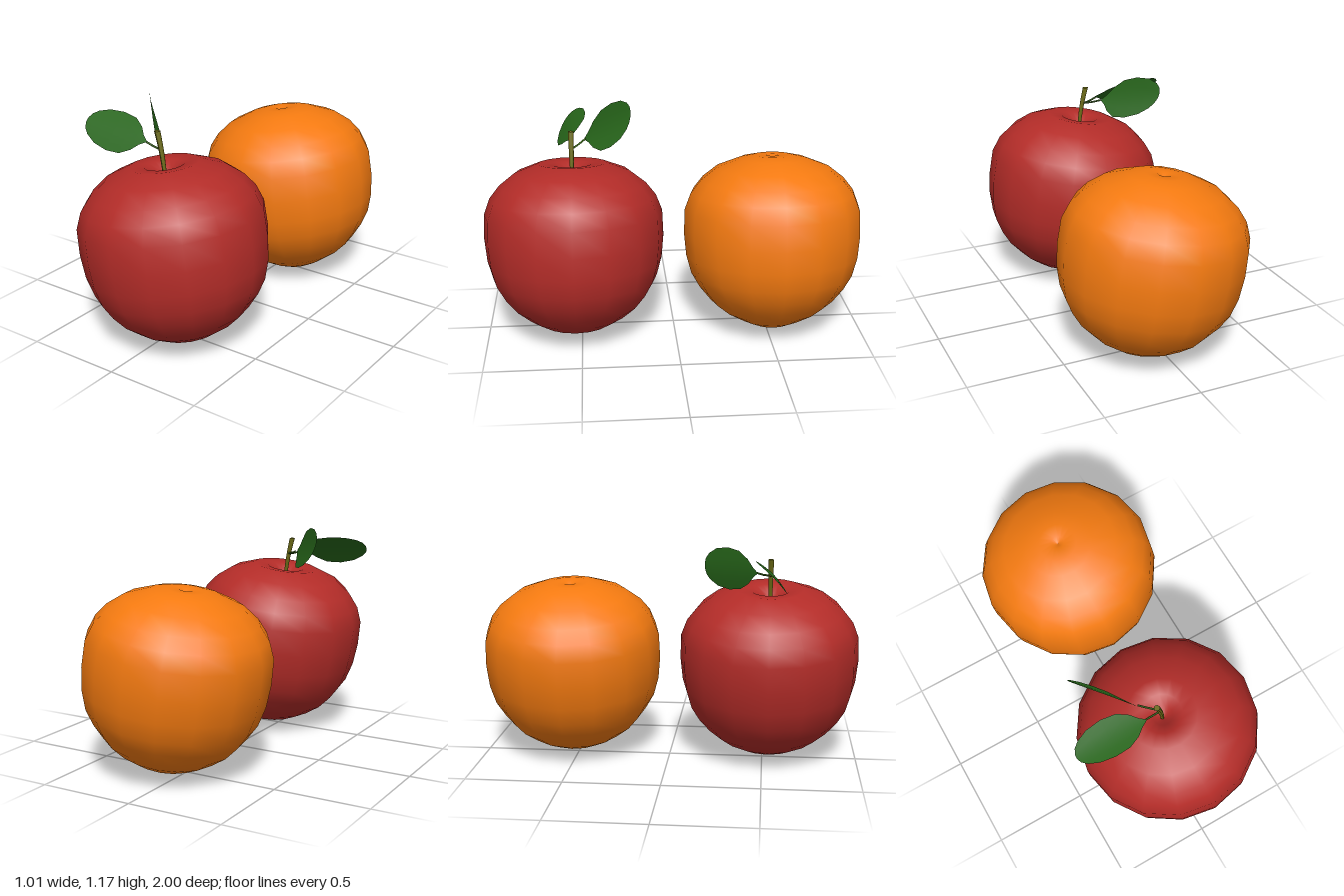
import * as THREE from 'three';

const TILT = 0.143;

// Shared flank of both fruits: [radius, height] from lower rim to upper rim
const FLANK = [
  [0.172, 0], [0.26, 0.05], [0.332, 0.109], [0.39, 0.182], [0.434, 0.26], [0.461, 0.36],
  [0.472, 0.48], [0.467, 0.613], [0.435, 0.697], [0.383, 0.763], [0.3, 0.828], [0.177, 0.876],
];

function mesh(name, geometry, color, doubleSided = false) {
  const material = new THREE.MeshStandardMaterial({ color });
  if (doubleSided) material.side = THREE.DoubleSide;
  const m = new THREE.Mesh(geometry, material);
  m.name = name;
  return m;
}

// Lathed fruit, leaning towards -x
function fruit(name, bottom, top, color, z) {
  const points = [...bottom, ...FLANK, ...top].map(([r, h]) => new THREE.Vector2(r, h));
  const m = mesh(name, new THREE.LatheGeometry(points, 16), color);
  m.position.set(0.1, 0.0625, z);
  m.rotation.z = TILT;
  return m;
}

// Stem: tapered cylinder bent towards -x as it rises
function stemGeometry() {
  const g = new THREE.CylinderGeometry(0.015, 0.009, 0.25, 8, 4);
  const p = g.attributes.position;
  for (let i = 0; i < p.count; i++) {
    const t = p.getY(i) / 0.25 + 0.5;
    p.setX(i, p.getX(i) - 0.018 - 0.02 * t - 0.024 * t * t);
  }
  g.translate(0, 0.962, 0.528);
  g.computeVertexNormals();
  return g;
}

// Leaf blade: strip from base to tip, width from a table, slightly cupped
const LEAF_T = [0, 0.08, 0.17, 0.32, 0.53, 0.75, 0.9, 0.97, 1];
const LEAF_W = [0.04, 0.25, 0.6, 0.92, 1, 0.88, 0.62, 0.38, 0.12];
function bladeGeometry(base, tip, halfWidth) {
  const axis = tip.clone().sub(base);
  const normal = axis.clone().cross(halfWidth).normalize();
  const rows = LEAF_T.length - 1;
  const g = new THREE.PlaneGeometry(2, rows, 4, rows);
  const p = g.attributes.position;
  const v = new THREE.Vector3();
  for (let i = 0; i < p.count; i++) {
    const row = Math.floor(i / 5);
    const s = p.getX(i) * LEAF_W[row];
    const t = LEAF_T[row];
    v.copy(base).addScaledVector(axis, t).addScaledVector(halfWidth, s);
    v.addScaledVector(normal, 0.012 * (s * s - 0.4));
    p.setXYZ(i, v.x, v.y, v.z);
  }
  g.computeVertexNormals();
  return g;
}

function leaf(name, root, base, tip, halfWidth) {
  const group = new THREE.Group();
  group.name = name;
  const mid = root.clone().lerp(base, 0.5);
  mid.y -= 0.003;
  const path = new THREE.CatmullRomCurve3([root, mid, base]);
  group.add(
    mesh('leafStalk', new THREE.TubeGeometry(path, 4, 0.005, 6), 0x3c6a1a),
    mesh('leafBlade', bladeGeometry(base, tip, halfWidth), 0x27661a, true),
  );
  return group;
}

export function createModel() {
  const model = new THREE.Group();
  model.name = 'fruits';
  const V = (x, y, z) => new THREE.Vector3(x, y, z);

  // Apple with a dimple at both ends
  model.add(fruit('apple',
    [[0, 0.06], [0.06, 0.05], [0.12, 0.015]],
    [[0.1, 0.868], [0.05, 0.835], [0.02, 0.805], [0, 0.8]],
    0xb32c28, 0.527));

  // Orange with rounded ends and a small navel on top
  model.add(fruit('orange',
    [[0, -0.057], [0.096, -0.034]],
    [[0.1, 0.893], [0.035, 0.892], [0, 0.872]],
    0xf47a10, -0.527));

  // Stem and its two leaves
  model.add(mesh('stem', stemGeometry(), 0x6b6a16));
  model.add(leaf('frontLeaf', V(-0.035, 0.995, 0.527), V(-0.125, 1.02, 0.535),
    V(-0.507, 1.06, 0.535), V(0, 0.078, -0.078)));
  model.add(leaf('backLeaf', V(-0.04, 1.0, 0.525), V(-0.125, 1.027, 0.455),
    V(-0.357, 1.095, 0.203), V(-0.037, 0.111, -0.004)));

  return model;
}
